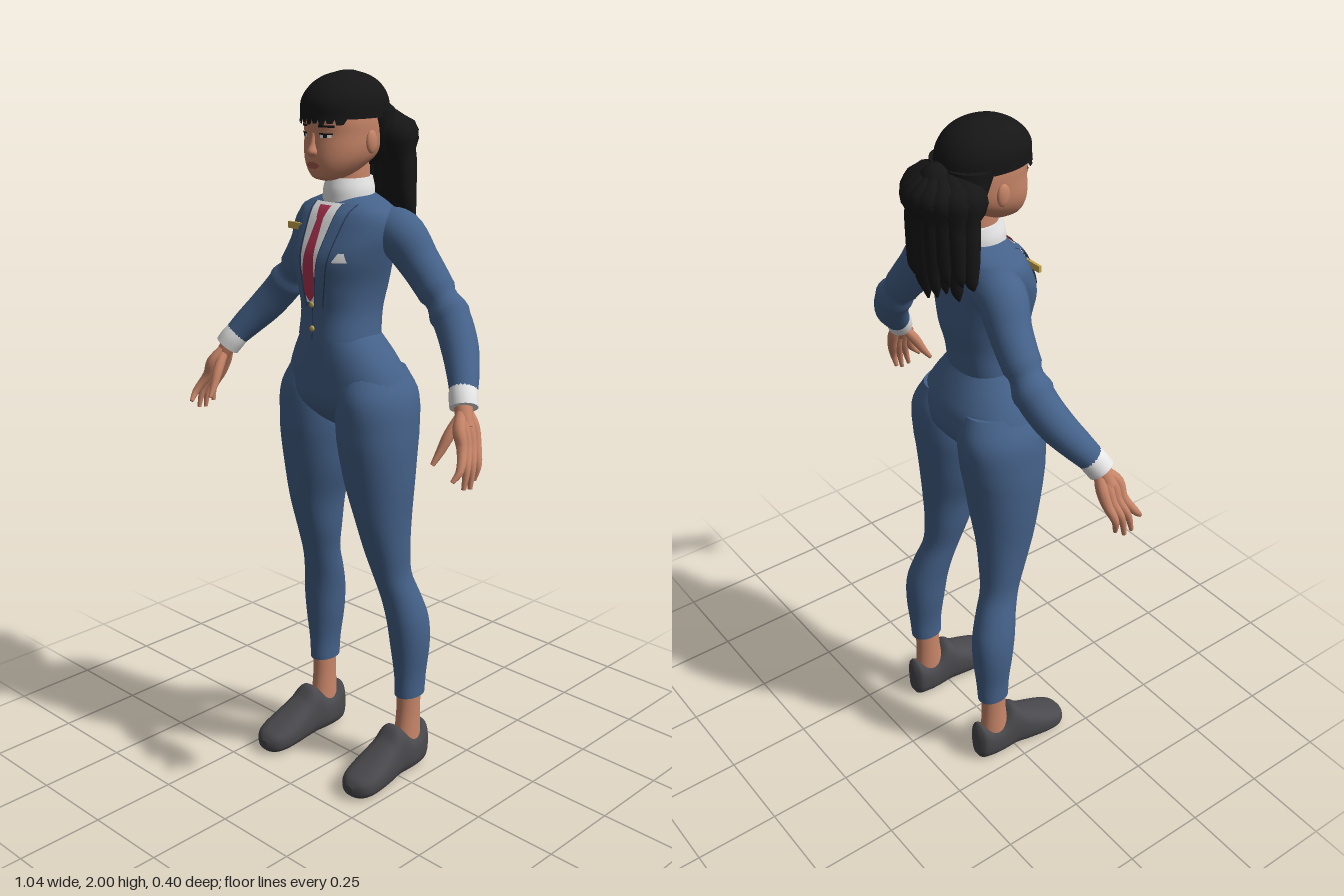
import * as THREE from 'three';

const mat = (name, color, side = THREE.DoubleSide) => {
  const m = new THREE.MeshStandardMaterial({ color, side });
  m.name = name;
  return m;
};
const M = {
  suit: mat('suit blue', 0x45628a),
  trim: mat('dark navy trim', 0x2c3f5c),
  skin: mat('skin', 0xc98669),
  hair: mat('black hair', 0x161616),
  shoe: mat('charcoal shoe', 0x4a4a4e),
  white: mat('white cloth', 0xe6e6e6),
  tie: mat('crimson tie', 0xb03352),
  gold: mat('gold', 0xc9a94e),
  lips: mat('lips', 0xa85a50),
};

// Skin a list of closed rings, with flat caps at both ends
function skinRings(rings) {
  const n = rings[0].length, pos = [], idx = [];
  const add = (p) => { pos.push(p.x, p.y, p.z); return pos.length / 3 - 1; };
  rings.forEach((r) => r.forEach(add));
  for (let i = 0; i < rings.length - 1; i++) for (let j = 0; j < n; j++) {
    const k = (j + 1) % n, a = i * n + j, b = i * n + k;
    idx.push(a, b, a + n, b, b + n, a + n);
  }
  [rings[0], rings[rings.length - 1]].forEach((r, end) => {
    const mid = r.reduce((s, p) => s.add(p), new THREE.Vector3()).divideScalar(n);
    const c = add(mid), first = c + 1;
    r.forEach(add);
    for (let j = 0; j < n; j++) {
      const a = first + j, b = first + (j + 1) % n;
      idx.push(c, end ? a : b, end ? b : a);
    }
  });
  const g = new THREE.BufferGeometry();
  g.setAttribute('position', new THREE.Float32BufferAttribute(pos, 3));
  g.setIndex(idx);
  g.computeVertexNormals();
  return g;
}

// Smoothly sample rows of [y, centreX, radiusX, zFront, zBack], listed downward
function sample(rows, y) {
  let i = 0;
  while (i < rows.length - 2 && y < rows[i + 1][0]) i++;
  const A = rows[i], B = rows[i + 1], P = rows[i - 1] || A, Q = rows[i + 2] || B;
  const h = B[0] - A[0], t = (y - A[0]) / h, t2 = t * t, t3 = t2 * t;
  return A.map((a, k) => {
    const m0 = (B[k] - P[k]) / (B[0] - P[0]) * h, m1 = (Q[k] - A[k]) / (Q[0] - A[0]) * h;
    return a * (2 * t3 - 3 * t2 + 1) + m0 * (t3 - 2 * t2 + t) + B[k] * (3 * t2 - 2 * t3) + m1 * (t3 - t2);
  });
}

const power = (v, e) => Math.sign(v) * Math.abs(v) ** e;
function loft(rows, p = 2, steps = 32, n = 32) {
  const top = rows[0][0], bottom = rows[rows.length - 1][0], rings = [];
  for (let i = 0; i <= steps; i++) {
    const y = top + (bottom - top) * i / steps;
    const [, cx, rx, zf, zb] = sample(rows, y);
    rings.push(Array.from({ length: n }, (_, j) => {
      const a = j / n * Math.PI * 2;
      return new THREE.Vector3(cx + rx * power(Math.cos(a), 2 / p), y,
        (zf + zb) / 2 + (zf - zb) / 2 * power(Math.sin(a), 2 / p));
    }));
  }
  return skinRings(rings);
}

// Round limb through points of [x, y, z, radius]; s mirrors it
function limb(points, s = 1, steps = 24, n = 16) {
  const curve = new THREE.CatmullRomCurve3(points.map(([x, y, z]) => new THREE.Vector3(x * s, y, z)));
  const radii = new THREE.CatmullRomCurve3(points.map((p) => new THREE.Vector3(p[3], 0, 0)));
  const rings = [], up = new THREE.Vector3(0, 0, 1);
  for (let i = 0; i <= steps; i++) {
    const c = curve.getPoint(i / steps), r = Math.max(0.001, radii.getPoint(i / steps).x);
    const T = curve.getTangent(i / steps);
    const N = new THREE.Vector3().crossVectors(up, T).normalize();
    const B = new THREE.Vector3().crossVectors(T, N);
    rings.push(Array.from({ length: n }, (_, j) => {
      const a = j / n * Math.PI * 2;
      return c.clone().addScaledVector(N, r * Math.cos(a)).addScaledVector(B, r * Math.sin(a));
    }));
  }
  return skinRings(rings);
}

// Thin patch lying on the front of a loft; left and right edges are [top, bottom] x
function patch(rows, p, y0, y1, left, right, off, ny = 16, nx = 6) {
  const pos = [], idx = [];
  for (let i = 0; i <= ny; i++) for (let j = 0; j <= nx; j++) {
    const t = i / ny, y = y0 + (y1 - y0) * t;
    const l = THREE.MathUtils.lerp(...left, t), r = THREE.MathUtils.lerp(...right, t);
    const x = l + (r - l) * j / nx, [, cx, rx, zf, zb] = sample(rows, y);
    const d = Math.min(1, Math.abs((x - cx) / rx));
    pos.push(x, y, (zf + zb) / 2 + (zf - zb) / 2 * (1 - d ** p) ** (1 / p) + off);
    if (i < ny && j < nx) {
      const a = i * (nx + 1) + j, c = a + nx + 1;
      idx.push(a, c, a + 1, a + 1, c, c + 1);
    }
  }
  const g = new THREE.BufferGeometry();
  g.setAttribute('position', new THREE.Float32BufferAttribute(pos, 3));
  g.setIndex(idx);
  g.computeVertexNormals();
  return g;
}

const TORSO = [[1.69, 0, .05, .05, -.06], [1.672, 0, .095, .07, -.075], [1.65, 0, .14, .092, -.085],
  [1.6, 0, .152, .12, -.1], [1.53, 0, .136, .15, -.1], [1.45, 0, .112, .148, -.098],
  [1.38, 0, .102, .14, -.08], [1.31, 0, .108, .144, -.067]];
const PELVIS = [[1.325, 0, .103, .138, -.06], [1.25, 0, .153, .139, -.1], [1.2, 0, .178, .138, -.118],
  [1.13, 0, .198, .13, -.112], [1.08, 0, .13, .09, -.07], [1.045, 0, .04, .04, -.03]];
const LEG = [[1.22, .09, .075, .11, -.1], [1.15, .106, .096, .132, -.126], [1.05, .111, .102, .13, -.12],
  [1, .114, .1, .125, -.111], [.9, .12, .09, .108, -.098], [.8, .13, .071, .088, -.087],
  [.7, .135, .06, .058, -.08], [.62, .143, .05, .033, -.084], [.55, .156, .053, .013, -.108],
  [.48, .168, .055, .002, -.129], [.4, .173, .052, -.008, -.132], [.3, .175, .039, -.018, -.123],
  [.24, .175, .037, -.02, -.118]];
const HEAD = [[1.97, 0, .05, .08, -.05], [1.93, 0, .082, .125, -.09], [1.88, 0, .088, .136, -.1],
  [1.845, 0, .087, .134, -.1], [1.81, 0, .084, .137, -.09], [1.785, 0, .077, .138, -.07],
  [1.765, 0, .066, .136, -.04], [1.745, 0, .05, .13, -.005], [1.732, 0, .032, .12, .03], [1.725, 0, .008, .095, .06]];
const HAIR = [[2, 0, .012, .03, -.01], [1.988, 0, .05, .075, -.05], [1.965, 0, .079, .115, -.085],
  [1.93, 0, .096, .143, -.108], [1.885, 0, .098, .147, -.116]];
const BACK_HAIR = [[1.9, 0, .098, .03, -.116], [1.84, 0, .094, 0, -.115], [1.8, 0, .084, -.02, -.1], [1.76, 0, .055, -.03, -.07]];
// Shoe sections run from heel to toe: [-z, x, half width, top, bottom]
const SHOE = [[.13, .172, .018, .115, .02], [.12, .172, .034, .137, .004], [.085, .173, .042, .115, 0],
  [.045, .174, .045, .118, 0], [0, .175, .048, .16, 0], [-.04, .177, .053, .128, 0], [-.1, .179, .059, .095, 0],
  [-.15, .18, .055, .072, 0], [-.178, .179, .038, .058, .004], [-.19, .178, .014, .042, .015]];

export function createModel() {
  const model = new THREE.Group();
  const add = (name, geometry, material) => {
    const mesh = new THREE.Mesh(geometry, material);
    mesh.name = name;
    model.add(mesh);
    return mesh;
  };

  // Clothed body
  add('jacket', loft(TORSO, 2.3, 40, 40), M.suit);
  add('trouserHips', loft(PELVIS, 2.2), M.suit);
  add('shirtFront', patch(TORSO, 2.3, 1.668, 1.41, [-.05, -.018], [.05, .018], .003), M.white);
  add('tie', patch(TORSO, 2.3, 1.63, 1.44, [-.011, -.024], [.011, .024], .007), M.tie);
  add('tieTip', patch(TORSO, 2.3, 1.44, 1.415, [-.024, -.002], [.024, .002], .007), M.tie);
  add('tieKnot', patch(TORSO, 2.3, 1.662, 1.63, [-.02, -.012], [.02, .012], .009), M.tie);
  for (const s of [-1, 1]) {
    const strip = (a, b) => (s > 0 ? [a, b] : [b.map((v) => -v), a.map((v) => -v)]);
    add('lapel', patch(TORSO, 2.3, 1.668, 1.4, ...strip([.05, .016], [.082, .038]), .009), M.suit);
    add('lapelEdge', patch(TORSO, 2.3, 1.668, 1.4, ...strip([.082, .038], [.086, .041]), .007), M.trim);
    add('lapelInnerEdge', patch(TORSO, 2.3, 1.668, 1.4, ...strip([.047, .013], [.051, .017]), .008), M.trim);
  }
  add('jacketOpening', patch(TORSO, 2.3, 1.4, 1.312, [-.001, -.001], [.002, .002], .002), M.trim);
  add('pocketSquare', patch(TORSO, 2.3, 1.55, 1.525, [.085, .07], [.098, .105], .006), M.white);
  add('nameBadge', new THREE.BoxGeometry(.058, .018, .008), M.gold).position.set(-.085, 1.601, .115);
  for (const y of [1.405, 1.34]) {
    const button = add('button', new THREE.SphereGeometry(.008, 12, 8), M.gold);
    button.position.set(0, y, sample(TORSO, y)[3] + .003);
    button.scale.z = .6;
  }

  // Neck and shirt collar
  add('neck', loft([[1.78, 0, .045, .06, -.06], [1.65, 0, .047, .055, -.06]], 2, 4), M.skin);
  add('collar', loft([[1.728, 0, .056, .068, -.066], [1.7, 0, .064, .076, -.07], [1.668, 0, .066, .078, -.07]], 2, 8), M.white);

  // Limbs, mirrored
  for (const s of [-1, 1]) {
    const side = (rows) => rows.map(([y, cx, ...rest]) => [y, cx * s, ...rest]);
    add('trouserLeg', loft(side(LEG), 2.1, 48), M.suit);
    add('ankle', loft(side([[.27, .175, .031, -.026, -.108], [.18, .174, .03, -.025, -.105], [.07, .174, .034, -.01, -.11]]), 2, 8), M.skin);
    add('shoe', loft(side(SHOE), 2.6, 40).rotateX(-Math.PI / 2), M.shoe);
    add('sleeve', limb([[.09, 1.59, -.03, .062], [.145, 1.588, -.035, .066], [.205, 1.518, -.05, .056],
      [.265, 1.445, -.056, .051], [.315, 1.385, -.054, .051], [.365, 1.322, -.03, .049],
      [.41, 1.265, .008, .042], [.44, 1.222, .04, .035]], s, 40, 24), M.suit);
    add('cuff', limb([[.428, 1.24, .027, .036], [.441, 1.218, .042, .038], [.453, 1.196, .054, .037]], s, 6, 20), M.white);
    add('wrist', limb([[.44, 1.22, .04, .026], [.456, 1.185, .058, .023], [.472, 1.15, .068, .02]], s, 8), M.skin);
    // Fingers, each running from the wrist through the knuckle
    [[.155, 1.035, .505], [.12, 1.008, .513], [.095, 1.004, .513], [.07, 1.02, .505]].forEach(([z, y, x], k) => {
      const kz = .102 - .018 * k;
      add('finger', limb([[.455, 1.19, .064 - .006 * k, .014], [.474, 1.15, kz - .006, .017], [.49, 1.108, kz, .0145],
        [.51, 1.06, (kz + z) / 2 + .004, .0105], [x, y, z, .006]], s, 16, 10), M.skin);
    });
    add('thumb', limb([[.455, 1.18, .065, .014], [.445, 1.135, .098, .015], [.436, 1.09, .124, .011], [.43, 1.06, .145, .006]], s, 14, 10), M.skin);
  }

  // Head and face
  add('head', loft(HEAD, 2.2, 40, 40), M.skin);
  add('nose', loft([[1.85, 0, .006, .136, .11], [1.82, 0, .01, .145, .11], [1.8, 0, .017, .154, .11], [1.788, 0, .01, .14, .11]], 2, 12, 16), M.skin);
  add('upperLip', patch(HEAD, 2.2, 1.777, 1.769, [-.01, -.024], [.01, .024], .003, 4), M.lips);
  add('lowerLip', patch(HEAD, 2.2, 1.769, 1.76, [-.024, -.012], [.024, .012], .003, 4), M.lips);
  for (const s of [-1, 1]) {
    const spot = (name, y0, y1, x, w, off, m) =>
      add(name, patch(HEAD, 2.2, y0, y1, [s * x - w, s * x - w], [s * x + w, s * x + w], off, 3), m);
    spot('eyeWhite', 1.848, 1.839, .037, .013, .002, M.white);
    spot('iris', 1.848, 1.839, .037, .005, .003, M.hair);
    spot('lashLine', 1.851, 1.847, .038, .016, .004, M.hair);
    spot('eyebrow', 1.871, 1.865, .039, .019, .003, M.hair);
    const ear = add('ear', new THREE.SphereGeometry(1, 14, 10), M.skin);
    ear.position.set(s * .09, 1.825, .012);
    ear.scale.set(.009, .03, .019);
  }

  // Hair cap, fringe tips and ponytail strands
  add('hairCap', loft(HAIR, 2.1, 28, 40), M.hair);
  add('backHair', loft(BACK_HAIR, 2.1, 16), M.hair);
  for (let i = -4; i <= 4; i++) {
    const x = i * .018;
    add('fringeTip', patch(HAIR, 2.1, 1.892, 1.872 + .003 * (i & 1), [x - .011, x - .005], [x + .011, x + .006], .001, 3, 3), M.hair);
  }
  const knot = add('ponytailKnot', new THREE.SphereGeometry(.045, 18, 12), M.hair);
  knot.position.set(0, 1.868, -.122);
  for (let i = 0; i < 17; i++) {
    const u = i / 8 - 1, q = u * u, drop = .025 * Math.sin(i * 2.4), z = -.148 + .055 * q - .012 * (i % 2);
    add('ponytailStrand', limb([[u * .02, 1.878, -.115, .018], [u * .066, 1.862, z + .008, .03],
      [u * .096, 1.79, z - .004, .03], [u * .106, 1.69, z - .006, .025],
      [u * .114, 1.63 + drop, z - .008, .016], [u * .117, 1.59 + drop + .02 * q, z - .004, .003]], 1, 20, 10), M.hair);
  }
  return model;
}
